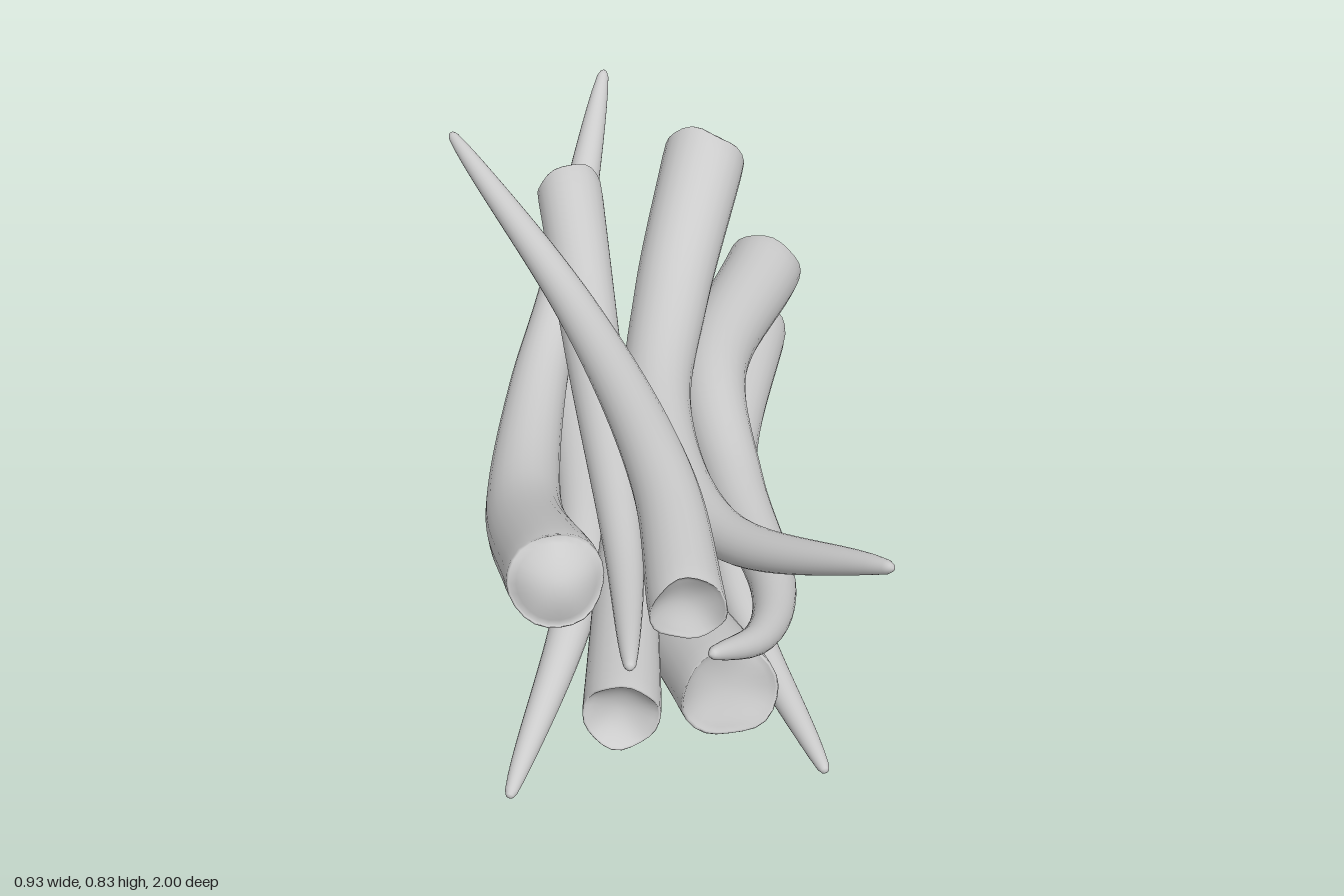
import * as THREE from 'three';
import { mergeVertices } from 'three/addons/utils/BufferGeometryUtils.js';

const material = new THREE.MeshStandardMaterial({ color: 0xcccccc, side: THREE.DoubleSide });
const UP = new THREE.Vector3(0, 1, 0);
const vec = (x, y, z) => new THREE.Vector3(x, y, z);

// Straight tusk profile as (radius, distance along the path).
function tuskProfile(R, cup, length) {
  const points = [];
  const add = (r, s) => points.push(new THREE.Vector2(r, s));
  // Root face, a shallow bowl or bulge from its centre out to the rim
  for (let i = 0; i <= 8; i++) {
    const f = i / 8;
    add(R * 0.92 * f, cup * (1 - f * f));
  }
  add(R * 0.95, -0.004);
  add(R * 0.985, 0);
  // Tapering outside
  const rings = 44, tip = 0.008;
  for (let i = 1; i <= rings; i++) {
    const t = 0.99 * i / rings;
    add(tip + (R - tip) * Math.pow(1 - t, 0.59), t * length);
  }
  // Rounded point
  add(tip, length * 0.997);
  add(0, length);
  return points;
}

// Bend the lathed tusk along its curve and give the root an uneven rim.
function tuskGeometry(R, cup, path, phase) {
  const curve = new THREE.CatmullRomCurve3(path);
  const length = curve.getLength();
  const lathe = new THREE.LatheGeometry(tuskProfile(R, cup, length), 24);
  const pos = lathe.attributes.position;
  const v = vec(), X = vec(), Z = vec();
  for (let i = 0; i < pos.count; i++) {
    v.fromBufferAttribute(pos, i);
    const a = Math.atan2(v.z, v.x);
    const rim = Math.min(1, Math.hypot(v.x, v.z) / R);
    const fade = Math.max(0, 1 - Math.max(v.y, 0) / 0.2) * rim ** 4;
    const wave = 0.13 * Math.cos(2 * a + phase * 1.7) + 0.05 * Math.sin(5 * a + phase);
    const s = v.y + R * wave * fade;
    const t = THREE.MathUtils.clamp(s / length, 0, 1);
    const p = curve.getPointAt(t), T = curve.getTangentAt(t);
    X.crossVectors(UP, T).normalize();
    Z.crossVectors(X, T);
    p.addScaledVector(T, s - t * length).addScaledVector(X, v.x).addScaledVector(Z, v.z);
    pos.setXYZ(i, p.x, p.y, p.z);
  }
  lathe.deleteAttribute('uv');
  lathe.deleteAttribute('normal');
  const geometry = mergeVertices(lathe, 1e-5);
  geometry.computeVertexNormals();
  return geometry;
}

export function createModel() {
  const group = new THREE.Group();
  group.name = 'tuskPile';

  // R: root radius, cup: hollow depth (negative bulges out), path: root to tip
  const addTusk = (name, R, cup, path) => {
    const mesh = new THREE.Mesh(tuskGeometry(R, cup, path, group.children.length), material);
    mesh.name = name;
    group.add(mesh);
  };

  // Tusks bowed in a U
  addTusk('leftBowedTusk', 0.1, -0.045, [
    vec(-0.177, 0.525, 0.7), vec(-0.265, 0.345, 0.2), vec(-0.25, 0.36, -0.27), vec(-0.2, 0.46, -0.55), vec(-0.1, 0.83, -1)]);
  addTusk('upperBowedTusk', 0.1, -0.045, [
    vec(0.145, 0.71, -0.76), vec(0.06, 0.55, -0.35), vec(0.03, 0.495, 0.05), vec(0.155, 0.53, 0.55), vec(0.46, 0.722, 0.93)]);

  // Long, gently curved tusks
  addTusk('topCrossingTusk', 0.077, 0.03, [
    vec(0.08, 0.58, 0.87), vec(0.035, 0.59, 0.45), vec(-0.15, 0.635, -0.15), vec(-0.46, 0.82, -0.67)]);
  addTusk('upperStraightTusk', 0.078, 0.05, [
    vec(-0.18, 0.69, -0.63), vec(-0.115, 0.55, -0.1), vec(-0.045, 0.49, 0.55), vec(-0.03, 0.54, 1)]);
  addTusk('middleStraightTusk', 0.078, 0.03, [
    vec(-0.047, 0.352, 0.91), vec(-0.03, 0.315, 0.15), vec(0.05, 0.24, -0.78)]);

  // S-shaped tusk, and the same one turned over below it
  const wavy = [
    vec(0.295, 0.41, -0.74), vec(0.155, 0.445, -0.2), vec(0.195, 0.405, 0.2),
    vec(0.26, 0.425, 0.6), vec(0.22, 0.49, 0.84), vec(0.12, 0.575, 1)];
  addTusk('rightWavyTusk', 0.095, 0.015, wavy);
  addTusk('lowerWavyTusk', 0.103, 0.02, wavy.map(({ x, y, z }) => {
    const back = 0.06 - z;
    return vec(x - 0.13, 0.638 - y + 0.09 * back + 0.03 * back * back, back);
  }));

  // Bottom pair, the left one mirrored with a lower tip
  const lower = [vec(0.28, 0.22, -0.76), vec(0.2, 0.235, -0.2), vec(0.2, 0.23, 0.35), vec(0.36, 0.17, 0.87)];
  addTusk('lowerRightTusk', 0.08, 0.02, lower);
  addTusk('lowerLeftTusk', 0.085, 0.03, lower.map(({ x, y, z }) =>
    vec(0.012 - 0.8 * x, y - 0.1 * Math.max(z, 0) ** 2, 0.96 * z + 0.025)));
  return group;
}
